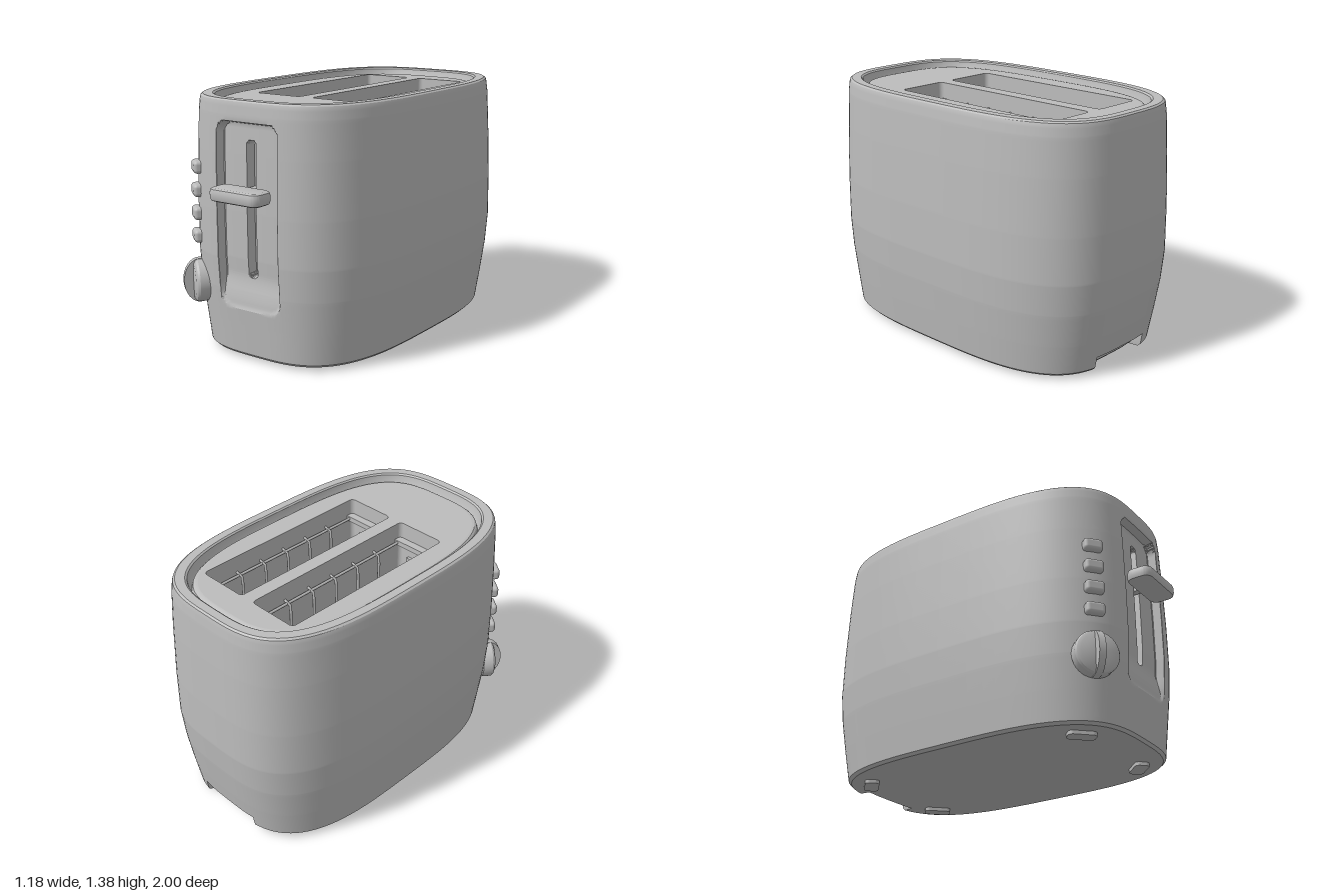
import * as THREE from 'three';
import { toCreasedNormals } from 'three/addons/utils/BufferGeometryUtils.js';
import { RoundedBoxGeometry } from 'three/addons/geometries/RoundedBoxGeometry.js';

const N = 3.3; // roundness of the plan outline
// y, half width, front z, back z
const PROFILE = [
  [0.02, 0.525, 0.832, -0.915], [0.035, 0.54, 0.846, -0.93], [0.2, 0.56, 0.862, -0.958],
  [0.38, 0.58, 0.88, -0.985], [0.55, 0.59, 0.89, -1], [0.8, 0.588, 0.89, -0.997],
  [1.1, 0.578, 0.884, -0.986], [1.3, 0.568, 0.878, -0.975], [1.36, 0.56, 0.873, -0.968],
  [1.372, 0.556, 0.87, -0.965], [1.38, 0.546, 0.862, -0.955],
];
// rim, groove and lid edge
const RIM = [
  [1.38, 0.5, 0.815, -0.91], [1.372, 0.492, 0.806, -0.9], [1.325, 0.484, 0.796, -0.89],
  [1.31, 0.476, 0.788, -0.882], [1.335, 0.47, 0.78, -0.875], [1.344, 0.462, 0.77, -0.863],
  [1.346, 0.45, 0.755, -0.85],
];

function section(y) {
  let i = 0;
  while (i < PROFILE.length - 2 && y > PROFILE[i + 1][0]) i++;
  const p = PROFILE[i], q = PROFILE[i + 1], t = (y - p[0]) / (q[0] - p[0]);
  return p.map((v, k) => v + (q[k] - v) * t);
}
function halfDepth(x, a, b) {
  return b * Math.pow(1 - Math.pow(Math.abs(x) / a, N), 1 / N);
}
function frontZ(x, y) {
  const [, a, f, k] = section(y);
  return (f + k) / 2 + halfDepth(x, a, (f - k) / 2);
}
// distance inside a rounded rectangle
function inside(x, y, hw, y0, y1, r) {
  const dx = Math.abs(x) - hw + r, dy = Math.abs(y - (y0 + y1) / 2) - (y1 - y0) / 2 + r;
  return r - Math.hypot(Math.max(dx, 0), Math.max(dy, 0)) - Math.min(Math.max(dx, dy), 0);
}
const step = THREE.MathUtils.smoothstep;

const XS = [];
for (let x = -0.21; x < 0.2101; x += 0.01) if (Math.abs(x) > 0.035) XS.push(x);
XS.push(-0.198, 0.198, -0.185, 0.185);
for (let k = -6; k <= 6; k++) XS.push(k * 0.005);
XS.sort((p, q) => p - q);

// one closed plan outline, with lever recess, lever slot and cord notch pressed in
function ring([y, a, f, k]) {
  const c = (f + k) / 2, b = (f - k) / 2, pts = [], M = 40;
  const t0 = Math.acos(Math.pow(0.21 / a, N / 2));
  const side = (t, s) => [s * a * Math.pow(Math.cos(t), 2 / N), y,
    c + Math.sign(t) * b * Math.pow(Math.abs(Math.sin(t)), 2 / N)];
  for (const x of XS) {
    const recess = 0.05 * step(inside(x, y, 0.2, 0.285, 1.275, 0.07), 0, 0.018) * (0.15 + 0.85 * step(y, 0.28, 0.48));
    const slot = 0.06 * step(inside(x, y, 0.03, 0.455, 1.178, 0.03), 0, 0.006);
    pts.push([x, y, c + halfDepth(x, a, b) - recess - slot]);
  }
  for (let j = 1; j < M; j++) pts.push(side(t0 * (1 - 2 * j / M), 1));
  for (const x of [...XS].reverse()) {
    const notch = Math.abs(x) < 0.195 && y < 0.1 ? 0.06 : 0;
    pts.push([x, y, c - halfDepth(x, a, b) + notch]);
  }
  for (let j = 1; j < M; j++) pts.push(side(-t0 * (1 - 2 * j / M), -1));
  return pts;
}

function loft(rings) {
  const n = rings[0].length, idx = [];
  for (let r = 0; r < rings.length - 1; r++) for (let i = 0; i < n; i++) {
    const p = r * n + i, q = r * n + (i + 1) % n;
    idx.push(p, q, q + n, p, q + n, p + n);
  }
  const g = new THREE.BufferGeometry();
  g.setAttribute('position', new THREE.Float32BufferAttribute(rings.flat(2), 3));
  g.setIndex(idx);
  return toCreasedNormals(g, 0.5);
}

function roundRect(w, h, r, cx = 0, cy = 0, Type = THREE.Shape) {
  const s = new Type(), x = w / 2, y = h / 2;
  s.absarc(cx + x - r, cy + y - r, r, 0, Math.PI / 2);
  s.absarc(cx - x + r, cy + y - r, r, Math.PI / 2, Math.PI);
  s.absarc(cx - x + r, cy - y + r, r, Math.PI, Math.PI * 1.5);
  s.absarc(cx + x - r, cy - y + r, r, Math.PI * 1.5, Math.PI * 2);
  s.closePath();
  return s;
}

export function createModel() {
  const root = new THREE.Group();
  const grey = new THREE.MeshStandardMaterial({ color: 0xbcbcbc });
  grey.name = 'grey';
  const add = (name, geo, x = 0, y = 0, z = 0, parent = root) => {
    const m = new THREE.Mesh(geo, grey);
    m.name = name;
    m.position.set(x, y, z);
    parent.add(m);
    return m;
  };

  // housing
  const ys = PROFILE.map(p => p[0]);
  for (let y = 0.06; y < 1.35; y += 0.0125) ys.push(y);
  for (let k = 0; k < 7; k++) ys.push(0.4545 + k * 0.005, 1.1475 + k * 0.005);
  ys.push(0.0985, 0.1005);
  ys.sort((p, q) => p - q);
  const rings = ys.map(y => ring(section(y)));
  add('housing', loft([...rings, ...RIM.map(ring)]));
  const base = new THREE.Shape(rings[0].map(p => new THREE.Vector2(p[0], p[2])));
  add('base', new THREE.ShapeGeometry(base).rotateX(Math.PI / 2), 0, 0.02, 0);

  // lid with two bread wells
  const lidY = RIM[RIM.length - 1][0], deep = 0.8, wellZ = -0.163, wellX = 0.188;
  const lid = new THREE.Shape(ring(RIM[RIM.length - 1]).map(p => new THREE.Vector2(p[0], -p[2])));
  for (const s of [-1, 1]) lid.holes.push(roundRect(0.295, 1.095, 0.025, s * wellX, -wellZ, THREE.Path));
  add('lid', new THREE.ExtrudeGeometry(lid, { depth: deep, bevelEnabled: false })
    .rotateX(-Math.PI / 2), 0, lidY - deep, 0);
  add('wellFloor', new THREE.BoxGeometry(0.75, 0.02, 1.2), 0, lidY - deep, wellZ);

  // bread guides
  for (const s of [-1, 1]) {
    const well = new THREE.Group();
    well.name = 'breadGuides';
    well.position.set(s * wellX, 0, wellZ);
    root.add(well);
    for (const e of [-1, 1]) {
      add('endLedge', new THREE.BoxGeometry(0.29, 0.03, 0.045), 0, 1.24, e * 0.525, well);
      add('endPlate', new THREE.BoxGeometry(0.16, 0.3, 0.02), 0, 1.0, e * 0.54, well);
      add('guideRod', new THREE.CylinderGeometry(0.008, 0.008, 1.06, 8).rotateX(Math.PI / 2), e * 0.128, 1.24, 0, well);
      const path = new THREE.CatmullRomCurve3([[0.147, 1.25], [0.125, 1.255], [0.108, 1.235], [0.105, 1.15], [0.105, 0.56]]
        .map(([x, y]) => new THREE.Vector3(e * x, y, 0)));
      const wire = new THREE.TubeGeometry(path, 16, 0.008, 6);
      for (let k = 0; k < 5; k++) add('guideWire', wire, 0, 0, -0.33 + k * 0.165, well);
    }
  }

  // lever
  const lever = new THREE.ExtrudeGeometry(roundRect(0.29, 0.11, 0.03), {
    depth: 0.026, bevelThickness: 0.022, bevelSize: 0.018, bevelSegments: 2, curveSegments: 6,
  }).rotateX(-Math.PI / 2);
  add('lever', toCreasedNormals(lever, 0.5), 0, 0.897, 0.927);
  add('leverStem', new THREE.BoxGeometry(0.04, 0.045, 0.15), 0, 0.91, 0.83);

  // buttons along the front corner
  const turn = -0.66;
  [0.62, 0.745, 0.87, 0.995].forEach((y, i) => {
    const x = -0.395 - (3 - i) * 0.002;
    const b = add('button', new RoundedBoxGeometry(0.105, 0.068, 0.07, 4, 0.02), x, y, frontZ(x, y));
    b.rotation.y = turn;
  });

  // dial
  const dial = new THREE.Group();
  dial.name = 'dial';
  dial.position.set(-0.395, 0.37, frontZ(-0.395, 0.37));
  dial.rotation.y = turn;
  root.add(dial);
  const outline = [[0.1, -0.04], [0.118, -0.02], [0.12, 0.035], [0.113, 0.046], [0.095, 0.055], [0, 0.058]]
    .map(p => new THREE.Vector2(...p));
  add('dialDisc', toCreasedNormals(new THREE.LatheGeometry(outline, 40).rotateX(Math.PI / 2), 0.5), 0, 0, 0, dial);
  add('dialGrip', new THREE.CylinderGeometry(0.122, 0.122, 0.036, 32).rotateZ(Math.PI / 2).scale(1, 1, 0.72), 0, 0, 0.02, dial);

  // feet
  const foot = new THREE.ExtrudeGeometry(roundRect(0.15, 0.08, 0.025), { depth: 0.025, bevelEnabled: false })
    .rotateX(-Math.PI / 2);
  for (const s of [-1, 1]) for (const [z, d] of [[0.643, 1], [-0.733, -1]]) {
    add('foot', foot, s * 0.298, 0, z).rotation.y = s * d * Math.PI / 4;
  }
  return root;
}
